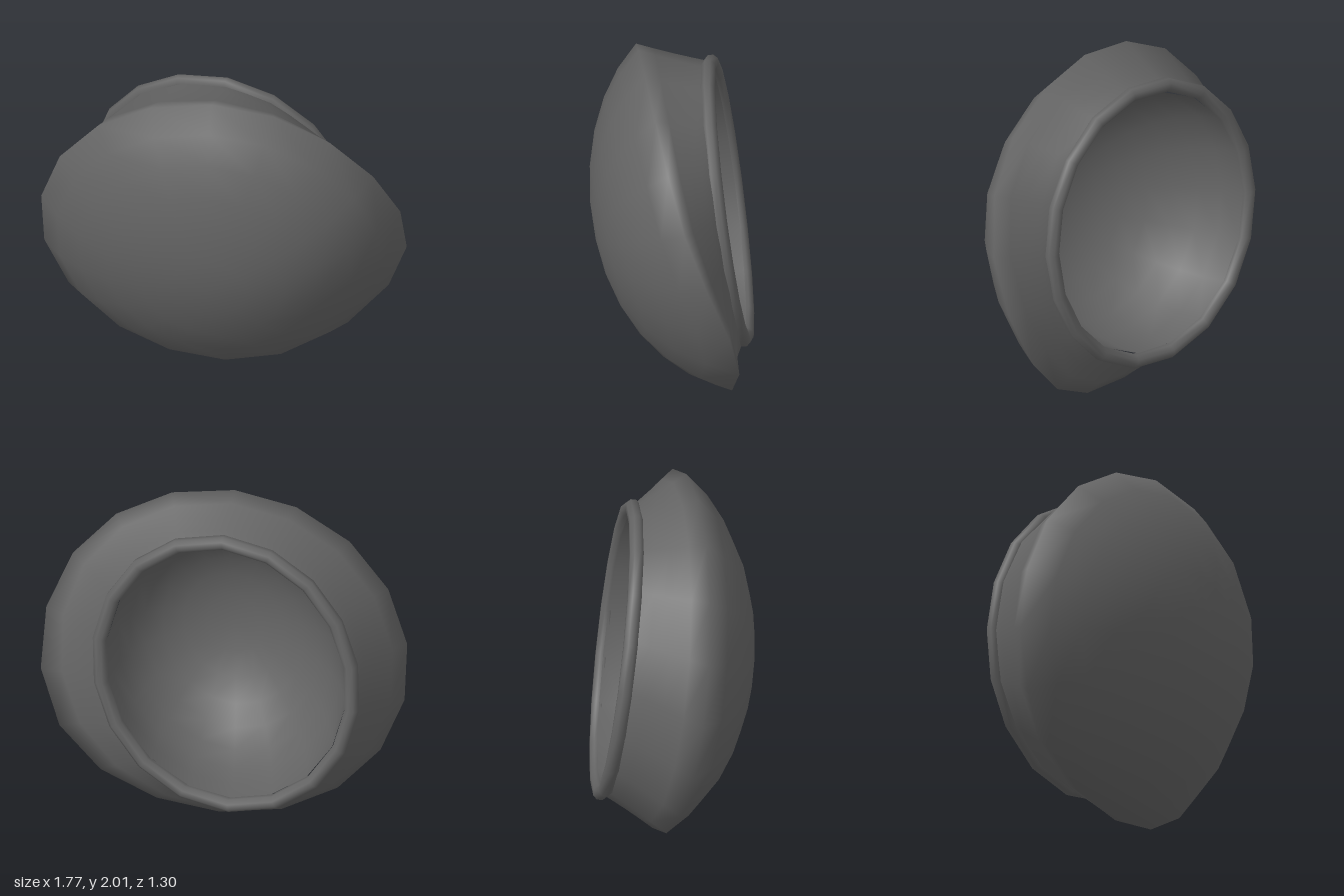
import * as THREE from 'three';

const SIDES = 18, DOME = 6, WALL = 4, BOWL = 8;
const V = (x, y, z) => new THREE.Vector3(x, y, z);

// widest ring of the shell, and the direction pointing back from it
const centre = V(0.05, 1, 0.04);
const wideU = V(0.885, 0.22, -0.5), wideV = V(-0.09, 0.98, 0.24);
const back = V(-0.53, 0.2, -0.82);
const depth = 0.46, capAngle = 1.134;

// tilted oval opening
const rimCentre = V(-0.142, 1.065, -0.205);
const rimU = V(0.683, 0.1, -0.287), rimV = V(-0.02, 0.82, 0.13);
const lip = 0.042;

const oval = (c, u, v, a, r = 1) =>
  c.clone().addScaledVector(u, r * Math.cos(a)).addScaledVector(v, r * Math.sin(a));

// strongest at the lower side where the edge sweeps back beside the opening
const sweepAt = (a) => Math.max(0, Math.cos(a + 0.6)) ** 4;

// shallow cap with a firm edge
function domePoint(t, a) {
  const phi = t * capAngle;
  const r = Math.sin(phi) / Math.sin(capAngle);
  const h = (Math.cos(phi) - Math.cos(capAngle)) / (1 - Math.cos(capAngle));
  const sweep = sweepAt(a) * r ** 3;
  return oval(centre, wideU, wideV, a, r * (1 + 0.02 * sweep))
    .addScaledVector(back, 0.17 * sweep - depth * h);
}

// rows run from the front pole to the widest ring, then along the wall to the opening
function shellPoint(row, a) {
  if (row <= DOME) return domePoint(row / DOME, a);
  const t = (row - DOME) / WALL;
  const p = domePoint(1, a).lerp(oval(rimCentre, rimU, rimV, a), t);
  const middle = centre.clone().lerp(rimCentre, t);
  return p.lerp(middle, (0.005 + 0.05 * sweepAt(a)) * Math.sin(Math.PI * t));
}

// rounded hollow, running into the inner side of the lip
const bowlPole = centre.clone().addScaledVector(back, 0.06 - depth);
function bowlPoint(row, a) {
  const phi = (row / BOWL) * Math.PI / 2;
  const middle = rimCentre.clone().lerp(bowlPole, Math.cos(phi));
  return oval(middle, rimU, rimV, a, 0.945 * Math.sin(phi) ** 0.9);
}

function loft(rows, pointAt, inward) {
  const pos = [], idx = [];
  for (let i = 0; i <= rows; i++)
    for (let j = 0; j < SIDES; j++) pos.push(...pointAt(i, (j / SIDES) * Math.PI * 2).toArray());
  for (let i = 0; i < rows; i++)
    for (let j = 0; j < SIDES; j++) {
      const k = (j + 1) % SIDES;
      const a = i * SIDES + j, b = a + SIDES, c = (i + 1) * SIDES + k, d = i * SIDES + k;
      if (inward) idx.push(a, c, b, a, d, c);
      else idx.push(a, b, c, a, c, d);
    }
  const g = new THREE.BufferGeometry();
  g.setAttribute('position', new THREE.Float32BufferAttribute(pos, 3));
  g.setIndex(idx);
  g.computeVertexNormals();
  // one shared normal at the pole
  const normal = g.getAttribute('normal'), sum = V(0, 0, 0);
  for (let j = 0; j < SIDES; j++) sum.add(V(0, 0, 0).fromBufferAttribute(normal, j));
  sum.normalize();
  for (let j = 0; j < SIDES; j++) normal.setXYZ(j, sum.x, sum.y, sum.z);
  return g;
}

export function createModel() {
  const model = new THREE.Group();
  model.name = 'hollowShell';
  const grey = new THREE.MeshStandardMaterial({ color: 0x646464 });
  grey.name = 'darkGrey';
  const add = (name, geometry) => {
    const mesh = new THREE.Mesh(geometry, grey);
    mesh.name = name;
    model.add(mesh);
  };

  add('outerShell', loft(DOME + WALL, shellPoint, false));
  add('innerBowl', loft(BOWL, bowlPoint, true));

  // rounded lip around the opening
  const path = Array.from({ length: SIDES }, (_, j) =>
    oval(rimCentre, rimU, rimV, (j / SIDES) * Math.PI * 2));
  const curve = new THREE.CatmullRomCurve3(path, true);
  add('rimLip', new THREE.TubeGeometry(curve, SIDES, lip, 8, true));

  return model;
}
